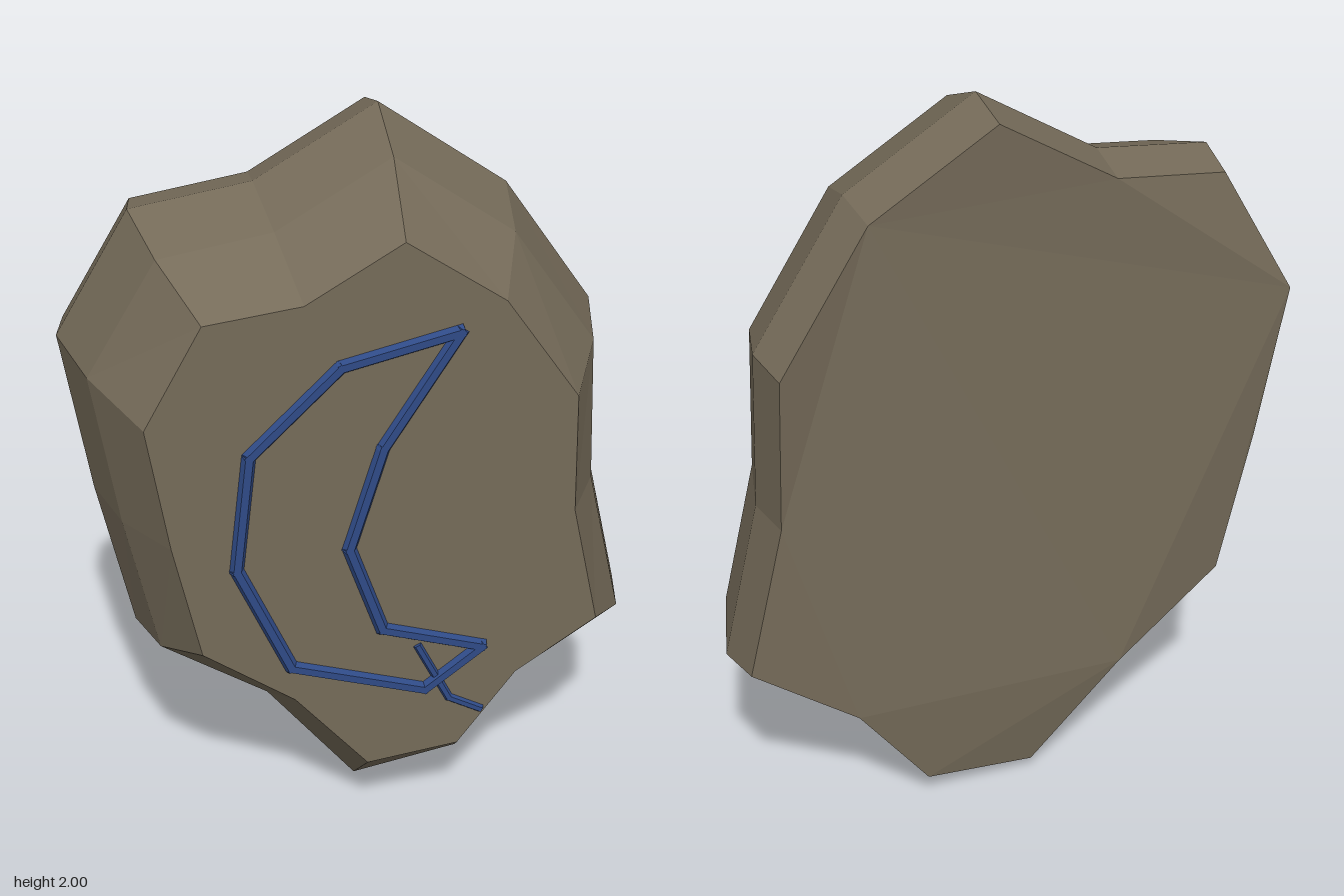
import * as THREE from 'three';

// Widest outline of the stone, clockwise from the peak: x, y, z
const OUTLINE = [
  [0.07, 2.0, -0.13], [0.41, 1.77, -0.10], [0.67, 1.40, -0.14], [0.68, 0.96, -0.12],
  [0.78, 0.51, -0.10], [0.49, 0.32, -0.14], [0.28, 0.04, -0.12], [-0.05, 0.0, -0.10],
  [-0.31, 0.31, -0.14], [-0.63, 0.54, -0.11], [-0.72, 0.97, -0.12], [-0.79, 1.42, -0.14],
  [-0.59, 1.77, -0.10], [-0.26, 1.81, -0.13],
];
const CENTRE_Y = 0.98;
const FRONT_Z = 0.27;

// One cross-section: the outline scaled about its centre and moved in z
const ring = (scale, zOf) => OUTLINE.map(([x, y, z]) =>
  new THREE.Vector3(x * scale, CENTRE_Y + (y - CENTRE_Y) * scale, zOf(z)));

function stoneGeometry() {
  const rings = [
    ring(0.775, () => FRONT_Z),
    ring(0.925, (z) => z + 0.21),
    ring(1, (z) => z),
    ring(0.965, (z) => z - 0.15),
  ];
  const n = OUTLINE.length;
  const pos = [];
  const tri = (...pts) => pts.forEach((p) => pos.push(p.x, p.y, p.z));

  // Side bands
  for (let r = 0; r < rings.length - 1; r++) {
    for (let i = 0; i < n; i++) {
      const j = (i + 1) % n;
      const [a, b] = [rings[r], rings[r + 1]];
      tri(a[i], a[j], b[i]);
      tri(a[j], b[j], b[i]);
    }
  }
  // Front and back faces
  for (const [pts, facing] of [[rings[0], 1], [rings[3], -1]]) {
    const flat = pts.map((p) => new THREE.Vector2(p.x, p.y));
    for (const [a, b, c] of THREE.ShapeUtils.triangulateShape(flat, [])) {
      const turn = THREE.ShapeUtils.area([flat[a], flat[b], flat[c]]) * facing;
      if (turn > 0) tri(pts[a], pts[b], pts[c]);
      else tri(pts[a], pts[c], pts[b]);
    }
  }
  const geo = new THREE.BufferGeometry();
  geo.setAttribute('position', new THREE.Float32BufferAttribute(pos, 3));
  geo.computeVertexNormals();
  return geo;
}

// Chain of six-sided bars half sunk into the front face
function barChain(name, points, radius, closed, material) {
  const group = new THREE.Group();
  group.name = name;
  const up = new THREE.Vector3(0, 1, 0);
  const count = closed ? points.length : points.length - 1;
  for (let i = 0; i < count; i++) {
    const a = new THREE.Vector3(...points[i], FRONT_Z - 0.002);
    const b = new THREE.Vector3(...points[(i + 1) % points.length], FRONT_Z - 0.002);
    const dir = b.clone().sub(a);
    const length = dir.length() + radius * 0.8;
    const bar = new THREE.Mesh(
      new THREE.CylinderGeometry(radius, radius, length, 6, 1, false, Math.PI / 6), material);
    bar.name = `${name}Bar`;
    bar.position.copy(a).add(b).multiplyScalar(0.5);
    bar.quaternion.setFromUnitVectors(up, dir.normalize());
    group.add(bar);
  }
  return group;
}

export function createModel() {
  const stoneGrey = new THREE.MeshStandardMaterial({ color: 0x756b59, flatShading: true });
  stoneGrey.name = 'stone grey brown';
  const runeBlue = new THREE.MeshStandardMaterial({ color: 0x2f4a86, flatShading: true });
  runeBlue.name = 'rune blue';

  const model = new THREE.Group();
  model.name = 'carvedStone';

  const stone = new THREE.Mesh(stoneGeometry(), stoneGrey);
  stone.name = 'stone';
  model.add(stone);

  // Crescent outline and the small hooked stroke below it
  model.add(barChain('crescent', [
    [0.20, 1.52], [-0.11, 1.45], [-0.35, 1.22], [-0.39, 0.89], [-0.25, 0.57],
    [0.12, 0.45], [0.28, 0.57], [0.0, 0.66], [-0.09, 0.92], [0.0, 1.21],
  ], 0.02, true, runeBlue));
  model.add(barChain('hook', [[0.10, 0.59], [0.19, 0.41], [0.28, 0.36]], 0.013, false, runeBlue));

  return model;
}
